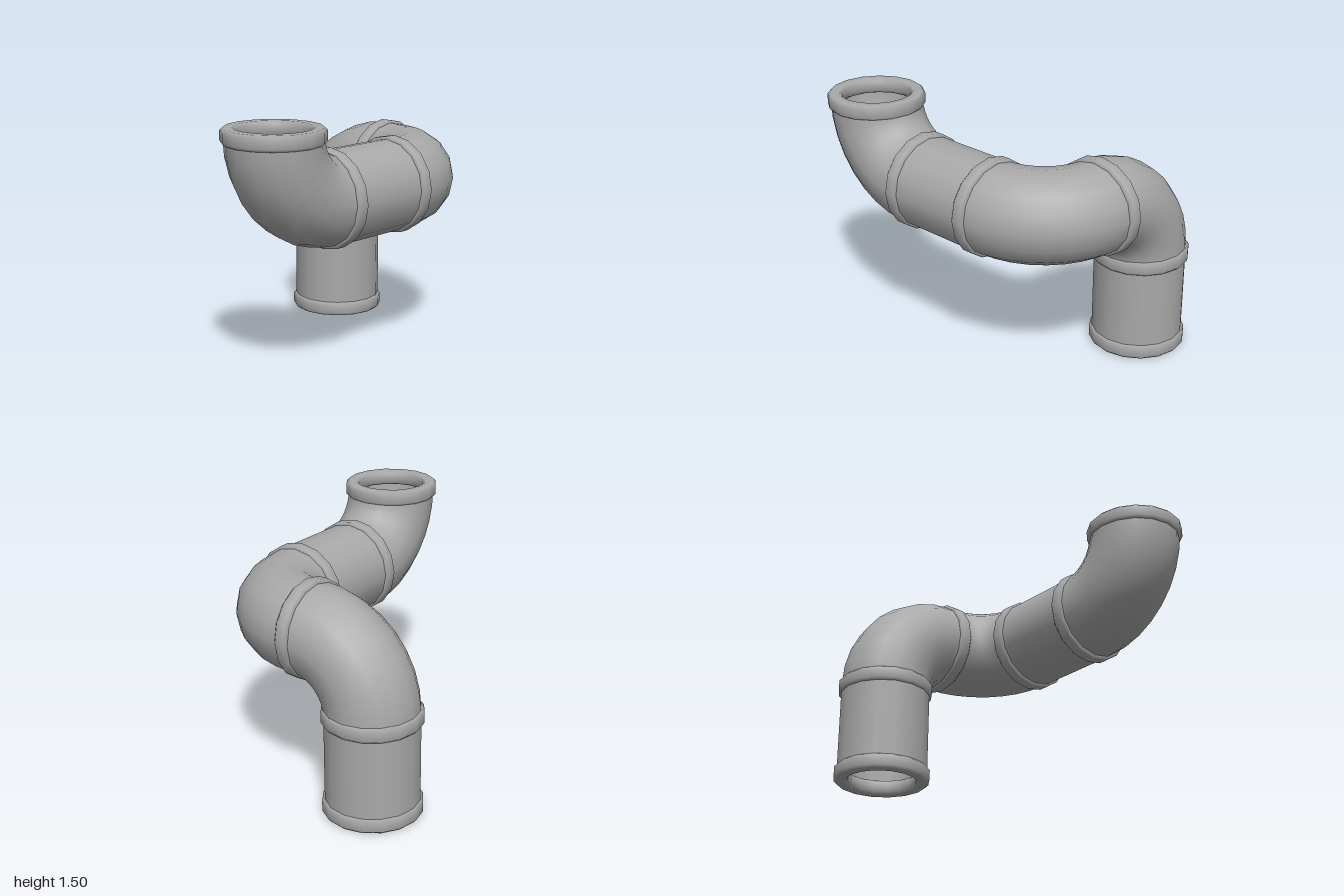
import * as THREE from 'three';

const SIDES = 16;
const PIPE_R = 0.28;    // pipe radius
const COLLAR_R = 0.296; // collar outer radius
const BORE_R = 0.21;    // collar opening radius
const BEND = 0.42;      // elbow centreline radius
const H = 0.045;        // half collar width
const UP = new THREE.Vector3(0, 1, 0);

// Quarter circle around a centre, from direction u to direction v
class QuarterBend extends THREE.Curve {
  constructor(centre, u, v) {
    super();
    Object.assign(this, { centre, u, v });
  }
  getPoint(t, target = new THREE.Vector3()) {
    const a = t * Math.PI / 2;
    return target.copy(this.centre)
      .addScaledVector(this.u, BEND * Math.cos(a))
      .addScaledVector(this.v, BEND * Math.sin(a));
  }
  getTangent(t, target = new THREE.Vector3()) {
    const a = t * Math.PI / 2;
    return target.set(0, 0, 0)
      .addScaledVector(this.u, -Math.sin(a))
      .addScaledVector(this.v, Math.cos(a));
  }
}

export function createModel() {
  const group = new THREE.Group();
  const grey = new THREE.MeshStandardMaterial({ color: 0xa9a9a9, side: THREE.DoubleSide });
  grey.name = 'pipe grey';
  const vec = (a) => new THREE.Vector3(...a);

  const add = (name, geometry) => {
    const mesh = new THREE.Mesh(geometry, grey);
    mesh.name = name;
    group.add(mesh);
    return mesh;
  };

  const elbow = (name, centre, u, v) =>
    add(name, new THREE.TubeGeometry(new QuarterBend(vec(centre), vec(u), vec(v)), 8, PIPE_R, SIDES));

  const straight = (name, from, to) => {
    const a = vec(from), b = vec(to);
    const mesh = add(name, new THREE.CylinderGeometry(PIPE_R, PIPE_R, a.distanceTo(b), SIDES, 1, true));
    mesh.position.copy(a).add(b).multiplyScalar(0.5);
    mesh.quaternion.setFromUnitVectors(UP, b.sub(a).normalize());
  };

  // Collar ring with softly bevelled edges
  const c = 0.016;
  const section = [
    [BORE_R, 0], [BORE_R, -H + c], [BORE_R + c, -H], [COLLAR_R - c, -H], [COLLAR_R, -H + c],
    [COLLAR_R, H - c], [COLLAR_R - c, H], [BORE_R + c, H], [BORE_R, H - c], [BORE_R, 0],
  ].map(([x, y]) => new THREE.Vector2(x, y));
  const collarGeometry = new THREE.LatheGeometry(section, SIDES);
  const collar = (name, at, axis) => {
    const mesh = add(name, collarGeometry);
    mesh.position.set(...at);
    mesh.quaternion.setFromUnitVectors(UP, vec(axis));
  };

  // Run of the pipe from the upper mouth down to the foot
  const X = 0.704, E = 0.284, Z = 0.424, Y = 1.033;
  elbow('upperElbow', [-E, Y + BEND, Z], [-1, 0, 0], [0, -1, 0]);
  straight('crossPipe', [-E, Y, Z], [E, Y, Z]);
  elbow('middleElbow', [E, Y, Z - BEND], [0, 0, 1], [1, 0, 0]);
  elbow('lowerElbow', [X, Y - BEND, 0], [0, 1, 0], [0, 0, -1]);
  straight('footPipe', [X, Y - BEND, -BEND], [X, H, -BEND]);

  collar('mouthCollar', [-X, Y + BEND, Z], [0, 1, 0]);
  collar('crossCollarRight', [-E, Y, Z], [1, 0, 0]);
  collar('crossCollarLeft', [E - 0.01, Y, Z], [1, 0, 0]);
  collar('middleCollar', [X, Y, 0], [0, 0, 1]);
  collar('lowerCollar', [X, Y - BEND, -BEND], [0, 1, 0]);
  collar('footCollar', [X, H, -BEND], [0, 1, 0]);

  return group;
}
